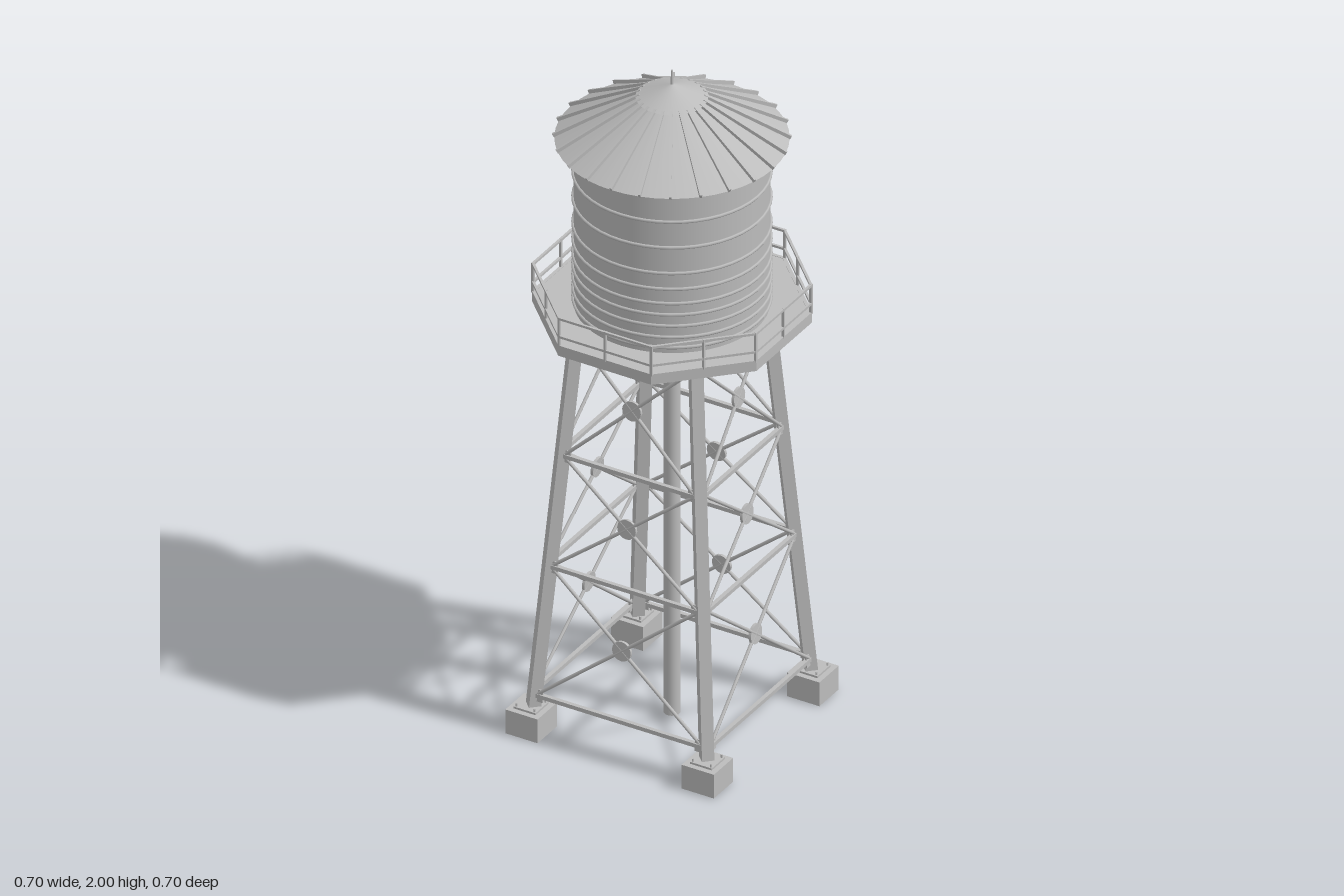
import * as THREE from 'three';

const steel = new THREE.MeshStandardMaterial({ color: 0xbcbcbc });
steel.name = 'grey steel';

const V = (x, y, z) => new THREE.Vector3(x, y, z);

function part(name, geometry, x = 0, y = 0, z = 0) {
  const mesh = new THREE.Mesh(geometry, steel);
  mesh.name = name;
  mesh.position.set(x, y, z);
  return mesh;
}

// Square bar between two points; "up" sets the direction of its height.
function bar(name, a, b, width, height, up = V(0, 1, 0)) {
  const mesh = part(name, new THREE.BoxGeometry(width, height, a.distanceTo(b)));
  mesh.position.copy(a).add(b).multiplyScalar(0.5);
  mesh.up.copy(up);
  mesh.lookAt(b);
  return mesh;
}

// Round rod between two points.
function rod(name, a, b, radius) {
  const mesh = part(name, new THREE.CylinderGeometry(radius, radius, a.distanceTo(b), 8));
  mesh.position.copy(a).add(b).multiplyScalar(0.5);
  mesh.quaternion.setFromUnitVectors(V(0, 1, 0), b.clone().sub(a).normalize());
  return mesh;
}

// Half spacing of the sloping legs at a given height.
const legAt = (y) => 0.268 - (0.085 * (y - 0.08)) / 1.165;

const octagon = (apothem) => Array.from({ length: 8 }, (_, i) => {
  const a = Math.PI / 8 + (i * Math.PI) / 4;
  const r = apothem / Math.cos(Math.PI / 8);
  return new THREE.Vector2(r * Math.cos(a), r * Math.sin(a));
});

function slab(shape, bottom, depth) {
  return new THREE.ExtrudeGeometry(shape, { depth, bevelEnabled: false })
    .rotateX(-Math.PI / 2).translate(0, bottom, 0);
}

// One corner: footing, base plate, bolts and leg.
function makeCorner() {
  const g = new THREE.Group();
  g.name = 'cornerLeg';
  const c = 0.273;
  g.add(part('footing', new THREE.BoxGeometry(0.1, 0.074, 0.1), c, 0.037, c));
  g.add(part('basePlate', new THREE.BoxGeometry(0.068, 0.006, 0.068), c, 0.077, c));
  for (const sx of [-1, 1]) for (const sz of [-1, 1]) {
    g.add(part('bolt', new THREE.CylinderGeometry(0.003, 0.003, 0.01, 6),
      c + sx * 0.028, 0.084, c + sz * 0.028));
  }
  const low = legAt(0.075), high = legAt(1.247);
  g.add(bar('leg', V(low, 0.075, low), V(high, 1.247, high), 0.034, 0.034, V(1, 0, 1)));
  return g;
}

// One face of the tower: struts, gussets, crossed rods and centre discs.
function makeBracing() {
  const g = new THREE.Group();
  g.name = 'bracing';
  const levels = [0.115, 0.51, 0.85, 1.215];
  const at = (side, y) => V(side * (legAt(y) - 0.008), y, legAt(y) + 0.008);
  levels.forEach((y, i) => {
    g.add(bar('strut', at(-1, y), at(1, y), 0.012, 0.012));
    for (const s of [-1, 1]) {
      const p = at(s, y);
      const gusset = part('gusset', new THREE.BoxGeometry(0.036, 0.036, 0.005), p.x - s * 0.004, y, p.z);
      gusset.rotation.x = -0.073;
      g.add(gusset);
    }
    if (i === 3) return;
    const top = levels[i + 1];
    const wLow = legAt(y), wHigh = legAt(top);
    for (const s of [-1, 1]) g.add(rod('crossRod', at(s, y), at(-s, top), 0.005));
    const cy = y + ((top - y) * wLow) / (wLow + wHigh);
    const disc = part('centreDisc', new THREE.CylinderGeometry(0.029, 0.029, 0.008, 16), 0, cy, legAt(cy) + 0.008);
    disc.rotation.x = Math.PI / 2 - 0.073;
    g.add(disc);
  });
  return g;
}

function makePlatform() {
  const g = new THREE.Group();
  g.name = 'platform';
  g.add(part('deck', slab(new THREE.Shape(octagon(0.345)), 1.266, 0.012)));
  const rim = new THREE.Shape(octagon(0.348));
  rim.holes.push(new THREE.Path(octagon(0.338).reverse()));
  g.add(part('rim', slab(rim, 1.247, 0.032)));

  // Joists cut to the octagon, over main beams resting on the legs
  for (let i = -5; i <= 5; i++) {
    const x = i * 0.06;
    const half = Math.min(0.338, 0.478 - Math.abs(x));
    g.add(bar('joist', V(x, 1.256, -half), V(x, 1.256, half), 0.014, 0.022));
  }
  for (const s of [-1, 1]) {
    g.add(bar('mainBeam', V(-0.23, 1.235, s * 0.183), V(0.23, 1.235, s * 0.183), 0.03, 0.026));
    g.add(bar('sideBeam', V(s * 0.183, 1.235, -0.23), V(s * 0.183, 1.235, 0.23), 0.03, 0.025));
    g.add(bar('crossBeam', V(-0.18, 1.234, -s * 0.18), V(0.18, 1.234, s * 0.18), 0.02, 0.02));
  }

  // Railing
  const corners = octagon(0.345).map((p) => V(p.x, 0, p.y));
  corners.forEach((a, i) => {
    const b = corners[(i + 1) % 8];
    for (const p of [a, a.clone().lerp(b, 0.5)]) {
      g.add(part('railPost', new THREE.BoxGeometry(0.007, 0.092, 0.007), p.x, 1.32, p.z));
    }
    for (const y of [1.306, 1.362]) {
      g.add(bar('rail', a.clone().setY(y), b.clone().setY(y), 0.007, 0.007));
    }
  });
  return g;
}

function makeTank() {
  const g = new THREE.Group();
  g.name = 'tank';
  g.add(part('tankWall', new THREE.CylinderGeometry(0.262, 0.262, 0.518, 48), 0, 1.536, 0));
  // Hoops, closer together toward the bottom
  for (const y of [1.767, 1.687, 1.607, 1.527, 1.478, 1.433, 1.398, 1.363, 1.328, 1.296]) {
    const hoop = part('hoop', new THREE.TorusGeometry(0.263, 0.005, 6, 48), 0, y, 0);
    hoop.rotation.x = Math.PI / 2;
    g.add(hoop);
  }
  return g;
}

function makeRoof() {
  const g = new THREE.Group();
  g.name = 'roof';
  g.add(part('roofCone', new THREE.CylinderGeometry(0.08, 0.313, 0.13, 48), 0, 1.855, 0));
  for (let i = 0; i < 24; i++) {
    const rib = new THREE.Group();
    rib.name = 'roofRib';
    rib.add(bar('rib', V(0.085, 1.919, 0), V(0.316, 1.793, 0), 0.007, 0.012));
    rib.rotation.y = (i * Math.PI) / 12;
    g.add(rib);
  }
  g.add(part('cap', new THREE.ConeGeometry(0.097, 0.04, 48), 0, 1.938, 0));
  g.add(part('finial', new THREE.CylinderGeometry(0.003, 0.004, 0.05, 8), 0, 1.975, 0));
  return g;
}

export function createModel() {
  const model = new THREE.Group();
  model.name = 'waterTower';
  for (let i = 0; i < 4; i++) {
    for (const piece of [makeCorner(), makeBracing()]) {
      piece.rotation.y = (i * Math.PI) / 2;
      model.add(piece);
    }
  }
  model.add(part('centrePipe', new THREE.CylinderGeometry(0.023, 0.023, 1.26, 24), 0, 0.63, 0));
  model.add(makePlatform(), makeTank(), makeRoof());
  return model;
}
